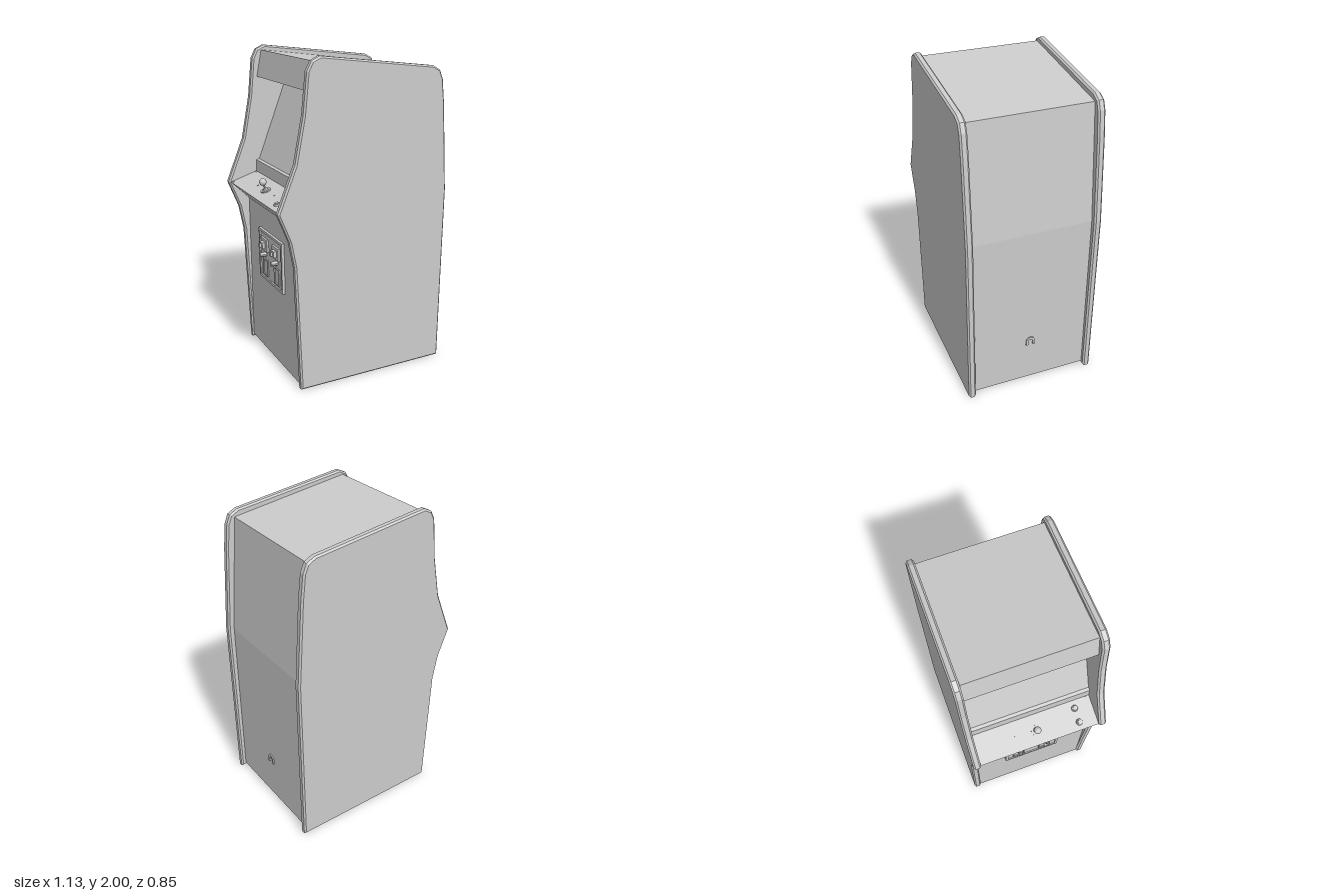
import * as THREE from 'three';

const material = new THREE.MeshStandardMaterial({ color: 0xcccccc, flatShading: true });
const smooth = new THREE.MeshStandardMaterial({ color: 0xcccccc });

function add(parent, name, geometry, x = 0, y = 0, z = 0, mat = material) {
  const mesh = new THREE.Mesh(geometry, mat);
  mesh.name = name;
  mesh.position.set(x, y, z);
  parent.add(mesh);
  return mesh;
}

const outline = (points) => new THREE.Shape(points.map(([x, y]) => new THREE.Vector2(x, y)));

// Side panel silhouette, the player's side towards -x
const SIDE = [
  [-0.44, 0], [0.555, 0], [0.565, 1.14], [0.53, 1.68], [0.513, 1.83], [0.49, 1.885], [0.44, 1.912],
  [-0.3, 2], [-0.352, 1.975], [-0.38, 1.92], [-0.405, 1.68], [-0.458, 1.41], [-0.57, 1.135],
  [-0.5, 0.96], [-0.47, 0.8],
];

// Body section: back, top, marquee, slanted screen, ledge, control deck, front
const BODY = [
  [-0.432, 0.02], [0.525, 0.02], [0.528, 1.13], [0.465, 1.87], [-0.322, 1.97], [-0.355, 1.805],
  [-0.15, 1.8], [-0.355, 1.27], [-0.375, 1.265], [-0.378, 1.19], [-0.557, 1.135], [-0.435, 1.015],
];

function makeControls() {
  const deck = new THREE.Group();
  deck.name = 'controls';
  deck.position.set(-0.4675, 1.1625, 0);
  deck.rotation.z = Math.atan2(0.055, 0.179);

  // Joystick
  add(deck, 'joystickBase', new THREE.CylinderGeometry(0.033, 0.033, 0.008, 8), -0.003, 0.003, 0.005);
  add(deck, 'joystickCollar', new THREE.CylinderGeometry(0.012, 0.02, 0.012, 8), -0.003, 0.012, 0.005);
  add(deck, 'joystickShaft', new THREE.CylinderGeometry(0.006, 0.006, 0.05, 8), -0.003, 0.03, 0.005);
  add(deck, 'joystickBall', new THREE.SphereGeometry(0.023, 12, 8), -0.003, 0.06, 0.005, smooth);

  // Push buttons
  for (const x of [-0.044, 0.044]) {
    add(deck, 'buttonRing', new THREE.CylinderGeometry(0.018, 0.021, 0.008, 12), x, 0.004, 0.27);
    add(deck, 'buttonCap', new THREE.CylinderGeometry(0.012, 0.013, 0.008, 12), x, 0.01, 0.27);
  }

  // Deck screws
  for (const side of [-1, 1]) {
    for (const [x, z] of [[-0.082, 0.36], [0.085, 0.36], [0, 0.128]]) {
      add(deck, 'screw', new THREE.BoxGeometry(0.008, 0.004, 0.008), x, 0.001, side * z);
    }
  }
  return deck;
}

function makeCoinDoor() {
  // Local +z points out of the front face
  const door = new THREE.Group();
  door.name = 'coinDoor';
  door.position.set(-0.433, 0.705, 0);
  door.rotation.y = -Math.PI / 2;

  const frameShape = outline([[-0.185, -0.165], [0.185, -0.165], [0.185, 0.165], [-0.185, 0.165]]);
  frameShape.holes.push(outline([[-0.168, -0.148], [-0.168, 0.148], [0.168, 0.148], [0.168, -0.148]]));
  add(door, 'doorFrame', new THREE.ExtrudeGeometry(frameShape, { depth: 0.018, bevelEnabled: false }));
  add(door, 'doorPanel', new THREE.BoxGeometry(0.336, 0.296, 0.02));

  const flapFrame = outline([[-0.04, -0.055], [0.04, -0.055], [0.04, 0.055], [-0.04, 0.055]]);
  flapFrame.holes.push(outline([[-0.032, -0.047], [-0.032, 0.047], [0.032, 0.047], [0.032, -0.047]]));
  for (const x of [-0.09, 0.09]) {
    // Coin slot
    add(door, 'coinPlate', new THREE.BoxGeometry(0.1, 0.08, 0.016), x, 0.075, 0.015);
    add(door, 'coinHousing', new THREE.BoxGeometry(0.045, 0.04, 0.025), x, 0.075, 0.03);
    add(door, 'coinSlotRidge', new THREE.BoxGeometry(0.012, 0.025, 0.015), x, 0.075, 0.048);
    // Reject button
    const knob = add(door, 'rejectButton', new THREE.CylinderGeometry(0.014, 0.016, 0.045, 10), x, 0.008, 0.03);
    knob.rotation.x = Math.PI / 2;
    // Return flap
    add(door, 'returnFrame', new THREE.ExtrudeGeometry(flapFrame, { depth: 0.008, bevelEnabled: false }), x, -0.08, 0.009);
  }
  return door;
}

export function createModel() {
  const model = new THREE.Group();
  model.name = 'arcadeCabinet';

  // Cabinet body between the sides
  add(model, 'cabinetBody', new THREE.ExtrudeGeometry(outline(BODY), { depth: 0.77, bevelEnabled: false }), 0, 0, -0.385);

  // Side panels with chamfered edges
  const sideGeometry = new THREE.ExtrudeGeometry(outline(SIDE), {
    depth: 0.026, bevelThickness: 0.01, bevelSize: 0.01, bevelOffset: -0.01, bevelSegments: 1,
  });
  for (const z of [-0.416, 0.39]) add(model, 'sidePanel', sideGeometry, 0, 0, z);

  model.add(makeControls(), makeCoinDoor());

  // Arched cable guide on the back
  const arch = new THREE.Shape();
  arch.moveTo(0.03, 0);
  arch.lineTo(0.03, 0.028);
  arch.absarc(0, 0.028, 0.03, 0, Math.PI);
  arch.lineTo(-0.03, 0);
  arch.lineTo(-0.015, 0);
  arch.lineTo(-0.015, 0.028);
  arch.absarc(0, 0.028, 0.015, Math.PI, 0, true);
  arch.lineTo(0.015, 0);
  const guide = add(model, 'cableGuide',
    new THREE.ExtrudeGeometry(arch, { depth: 0.012, bevelEnabled: false, curveSegments: 8 }), 0.522, 0.293, 0);
  guide.rotation.y = Math.PI / 2;

  return model;
}
